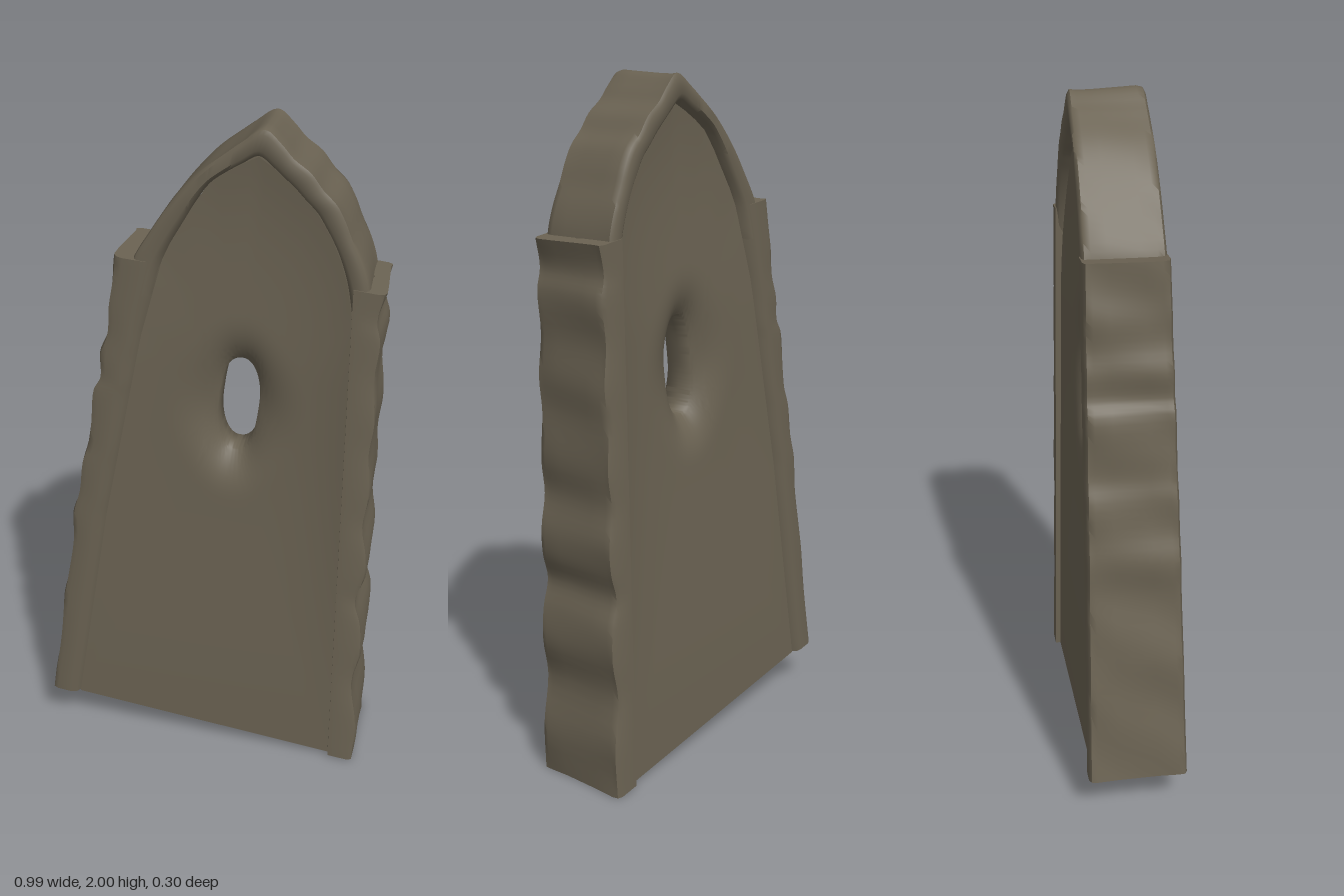
import * as THREE from 'three';
import { toCreasedNormals } from 'three/addons/utils/BufferGeometryUtils.js';

const stone = new THREE.MeshStandardMaterial({ color: 0x6a6252, side: THREE.DoubleSide });
stone.name = 'weathered stone';

const step = THREE.MathUtils.smoothstep;
// Half thickness of the border, and of the panel where it meets the border
const rimZ = y => 0.148 - 0.018 * y;
const edgeZ = y => rimZ(y) - 0.016 - 0.02 * step(y, 1.3, 1.9);

// Piecewise linear lookup of x by y
function xAt(points, y) {
  for (let i = 1; i < points.length; i++) {
    const [x0, y0] = points[i - 1], [x1, y1] = points[i];
    if (y <= y1 || i === points.length - 1) return x0 + (x1 - x0) * (y - y0) / (y1 - y0);
  }
}

// Surface through rows of points
function grid(rows, crease) {
  const n = rows[0].length, index = [];
  for (let i = 0; i < rows.length - 1; i++) {
    for (let j = 0; j < n - 1; j++) {
      const a = i * n + j, b = a + n;
      index.push(a, b, b + 1, a, b + 1, a + 1);
    }
  }
  const g = new THREE.BufferGeometry().setFromPoints(rows.flat());
  g.setIndex(index);
  return toCreasedNormals(g, crease);
}

function smooth(points) {
  const curve = new THREE.CatmullRomCurve3(points.map(p => new THREE.Vector3(p[0], p[1], 0)));
  return curve.getPoints((points.length - 1) * 4);
}

// Border cross-section from the back inner edge, round the outside, to the front inner edge;
// soft is the share of the width that slopes down to the panel
function section(outer, inner, soft, inset = 0) {
  const half = rimZ(outer.y) - inset, edge = edgeZ(inner.y) - 0.008;
  const row = [];
  for (const s of [-1, 1]) {
    const side = [[0, edge], [soft * 0.4, edge + (half - edge) * 0.75], [soft, half], [0.8, half],
      [0.95, half - 0.007], [1, half - 0.025], [1, half * 0.4]].map(([t, z]) => {
      const lump = t === 1 ? 0.05 * (Math.sin(outer.y * 21 + s * z * 14 + outer.x * 9) - 0.6) : 0;
      const p = new THREE.Vector3().lerpVectors(inner, outer, t + lump);
      p.z = s * z;
      return p;
    });
    row.push(...(s < 0 ? side : side.reverse()));
  }
  return row;
}

// Flat end that closes a border piece
function cap(row) {
  const c = row.reduce((sum, p) => sum.add(p), new THREE.Vector3()).divideScalar(row.length);
  return row.map(() => c.clone());
}

const leftInner = [[-0.41, 0.118], [-0.3, 0.8], [-0.18, 1.4], [-0.12, 1.62]];
// Arch stations: outer x, outer y, inner x, inner y
const archStations = [
  [0.46, 1.5, 0.405, 1.5], [0.447, 1.6, 0.388, 1.59], [0.428, 1.66, 0.367, 1.655], [0.4, 1.72, 0.342, 1.71],
  [0.38, 1.77, 0.318, 1.75], [0.355, 1.815, 0.295, 1.785], [0.318, 1.852, 0.265, 1.815],
  [0.285, 1.895, 0.235, 1.845], [0.238, 1.93, 0.205, 1.872], [0.205, 1.967, 0.18, 1.893],
  [0.16, 2.003, 0.14, 1.92], [0.1, 1.967, 0.095, 1.897], [0.06, 1.937, 0.05, 1.87], [0, 1.89, 0.01, 1.84],
  [-0.05, 1.84, -0.03, 1.785], [-0.1, 1.78, -0.065, 1.725], [-0.15, 1.705, -0.097, 1.67],
  [-0.2, 1.62, -0.12, 1.62], [-0.225, 1.52, -0.148, 1.52]];

// Dished panel: rings grow from the window hole to the inner outline, on both faces
function panelGeometry() {
  const corners = [[-0.41, 0.118], [0.405, 0.01],
    ...archStations.slice(0, -1).map(s => [s[2], s[3]]), ...leftInner.slice(0, -1).reverse()];
  const outline = [];
  for (let i = 0; i < corners.length - 1; i++) {
    const [x0, y0] = corners[i], [x1, y1] = corners[i + 1];
    const n = Math.ceil(Math.hypot(x1 - x0, y1 - y0) / 0.035);
    for (let k = 0; k < n; k++) outline.push([x0 + (x1 - x0) * k / n, y0 + (y1 - y0) * k / n]);
  }
  outline.push(corners[0]);

  const cx = 0.087, cy = 1.18, rx = 0.059, ry = 0.146, rings = 28, rows = [];
  for (let i = -rings; i <= rings; i++) {
    const t = (i / rings) ** 2;
    rows.push(outline.map(([x, y]) => {
      const len = Math.hypot(x - cx, y - cy), ux = (x - cx) / len, uy = (y - cy) / len;
      const r = (Math.abs(ux / rx) ** 2.3 + Math.abs(uy / ry) ** 2.3) ** (-1 / 2.3);
      const d = (len - r) * t;
      const px = cx + ux * (r + d) + 0.007 * uy * (1 - t), py = cy + uy * (r + d);
      const body = edgeZ(py) - 0.022 * (1 - t ** 3) * step(py, 0, 1.1);
      // Straight tunnel, then a wide funnel up to the panel face
      const funnel = 1 - (1 - Math.min(1, d / 0.15)) ** 2.4;
      return new THREE.Vector3(px, py, Math.sign(i) * (0.042 + (body - 0.042) * funnel));
    }));
  }
  return grid(rows, 1.3);
}

export function createModel() {
  const group = new THREE.Group();
  const add = (name, geometry) => {
    const mesh = new THREE.Mesh(geometry, stone);
    mesh.name = name;
    group.add(mesh);
  };

  add('windowPanel', panelGeometry());

  // Upright border with a worn outer edge
  const upright = smooth([[0.485, 0], [0.49, 0.15], [0.47, 0.3], [0.49, 0.42], [0.485, 0.52], [0.465, 0.6],
    [0.485, 0.68], [0.489, 0.76], [0.473, 0.86], [0.485, 0.96], [0.478, 1.1], [0.489, 1.2], [0.478, 1.32],
    [0.49, 1.44], [0.478, 1.5], [0.494, 1.58]]);
  const uprightRows = upright.map(p => section(p, new THREE.Vector3(0.405, p.y + 0.01, 0), 0.02));
  uprightRows.push(cap(uprightRows.at(-1)));
  add('uprightBorder', grid(uprightRows, 0.8));

  // Leaning border, built from the top down
  const leaning = smooth([[-0.5, 0.13], [-0.465, 0.34], [-0.449, 0.48], [-0.434, 0.56], [-0.409, 0.7],
    [-0.404, 0.8], [-0.382, 0.88], [-0.369, 0.98], [-0.347, 1.04], [-0.337, 1.12], [-0.327, 1.22],
    [-0.305, 1.26], [-0.302, 1.33], [-0.279, 1.4], [-0.274, 1.48], [-0.262, 1.55], [-0.25, 1.63]]).reverse();
  const leaningRows = leaning.map(p => {
    const y = p.y - 0.012;
    return section(p, new THREE.Vector3(xAt(leftInner, y), y, 0), 0.3);
  });
  leaningRows.unshift(cap(leaningRows[0]));
  add('leaningBorder', grid(leaningRows, 0.8));

  // Pointed arch over the top
  const outer = smooth(archStations);
  const inner = smooth(archStations.map(s => [s[2], s[3]]));
  add('pointedArch', grid(outer.map((p, i) => section(p, inner[i], 0.3, 0.003)), 0.8));

  return group;
}
